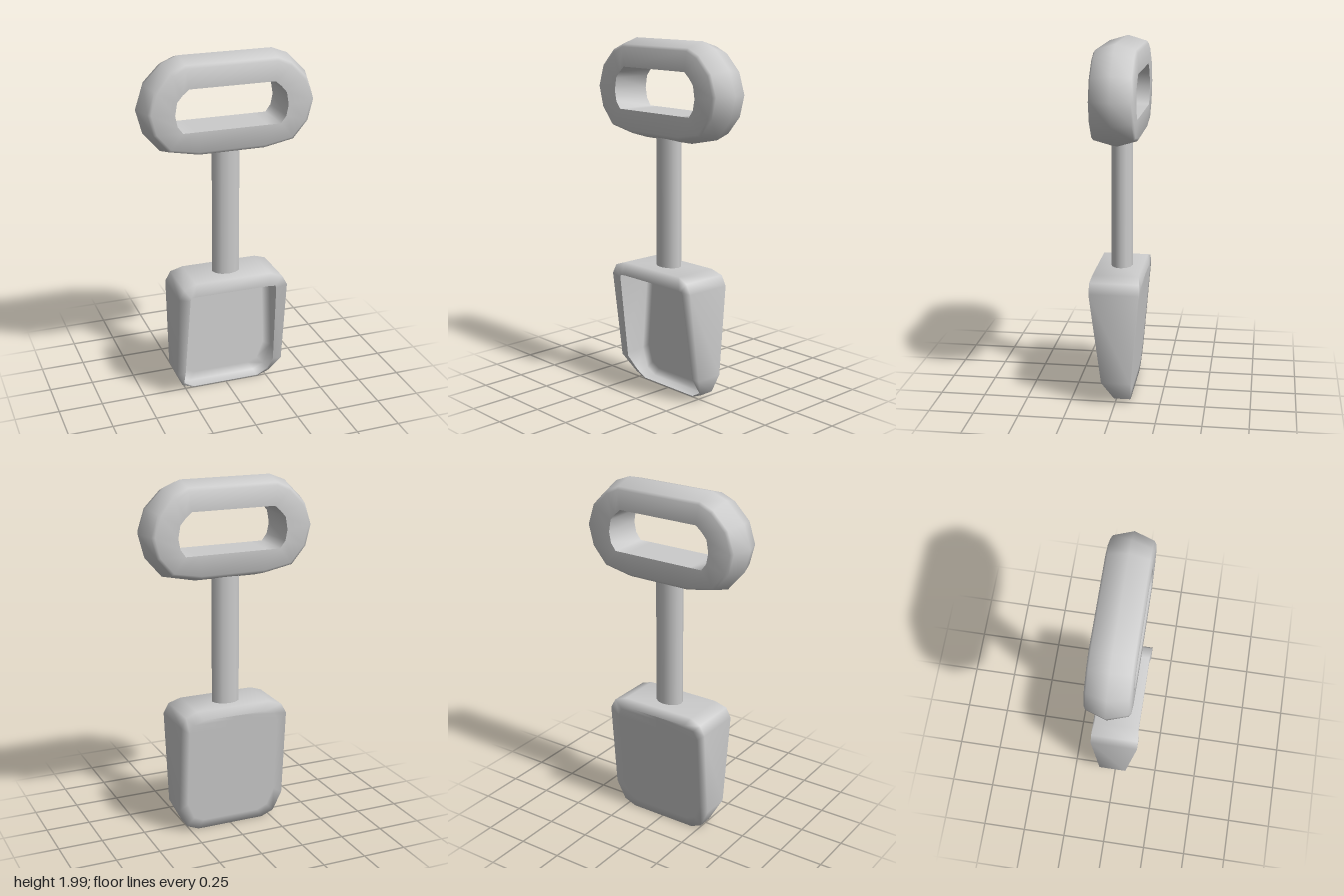
import * as THREE from 'three';
import { toCreasedNormals } from 'three/addons/utils/BufferGeometryUtils.js';

const material = new THREE.MeshStandardMaterial({ color: 0xcccccc, side: THREE.DoubleSide });

// Completes a right-hand half outline, listed bottom to top, into a closed loop.
const mirror = (half) => [...half, ...half.map(([x, ...rest]) => [-x, ...rest]).reverse()];

// Skins a list of loops, each an array of [x, y, z], running front to back.
function skin(loops, closed = false) {
  const n = loops[0].length;
  const index = [];
  const last = closed ? loops.length : loops.length - 1;
  for (let i = 0; i < last; i++) {
    const k = (i + 1) % loops.length;
    for (let j = 0; j < n; j++) {
      const m = (j + 1) % n;
      const a = i * n + j, a2 = i * n + m, b = k * n + j, b2 = k * n + m;
      index.push(a, b, a2, b, b2, a2);
    }
  }
  const geometry = new THREE.BufferGeometry();
  geometry.setAttribute('position', new THREE.Float32BufferAttribute(loops.flat(2), 3));
  geometry.setIndex(index);
  geometry.computeVertexNormals();
  return geometry;
}

function handleGeometry() {
  const outer = mirror([[0.18, 1.45], [0.37, 1.49], [0.465, 1.6], [0.5, 1.73],
    [0.455, 1.86], [0.35, 1.965], [0.26, 2]]);
  const hole = mirror([[0.2, 1.61], [0.275, 1.61], [0.305, 1.65], [0.317, 1.71],
    [0.305, 1.78], [0.275, 1.815], [0.24, 1.845]]);
  // Cross-section: [blend from outer ridge to hole, z]
  const section = [[1, 0.116], [0.3, 0.116], [0.2, 0.105], [0, 0],
    [0.2, -0.105], [0.3, -0.116], [1, -0.116]];
  const loops = section.map(([t, z]) => outer.map(([x, y], j) => [
    x + (hole[j][0] - x) * t, y + (hole[j][1] - y) * t, z]));
  return toCreasedNormals(skin(loops, true), 1.35);
}

function bladeGeometry() {
  // Each outline point: x, y, front z, back z
  const outline = mirror([[0.2, 0.01, 0, -0.08], [0.27, 0.04, 0.005, -0.083],
    [0.32, 0.15, 0.07, -0.092], [0.32, 0.66, 0.137, -0.135],
    [0.29, 0.715, 0.137, -0.135], [0.22, 0.74, 0.13, -0.125]]);
  // Edge of the scoop opening
  const opening = mirror([[0.2, 0.015], [0.26, 0.05], [0.27, 0.15],
    [0.255, 0.645], [0.25, 0.66], [0.22, 0.66]]);
  const backZ = (y) => -0.08 - 0.055 * (y - 0.01) / 0.65;
  const inset = outline.map(([x, y]) => {
    const iy = 0.37 + (y - 0.37) * 0.86;
    return [x * 0.84, iy, backZ(iy)];
  });
  return skin([
    opening.map(([x, y], j) => [x, y, outline[j][2]]),
    outline.map(([x, y, front]) => [x, y, front]),
    outline.map(([x, y, , back]) => [x, y, back]),
    inset,
    inset.map(([, y, z]) => [0, y, z]),
  ]);
}

export function createModel() {
  const group = new THREE.Group();
  const add = (name, geometry) => {
    const mesh = new THREE.Mesh(geometry, material);
    mesh.name = name;
    group.add(mesh);
    return mesh;
  };

  // Ring grip
  add('handle', handleGeometry()).position.z = -0.005;

  // Oval shaft
  const shaft = add('shaft', new THREE.CylinderGeometry(0.08, 0.08, 0.765, 12));
  shaft.position.set(0, 1.1175, -0.005);
  shaft.scale.z = 0.76;

  // Hollow scoop, open at the front
  add('blade', bladeGeometry());

  return group;
}
